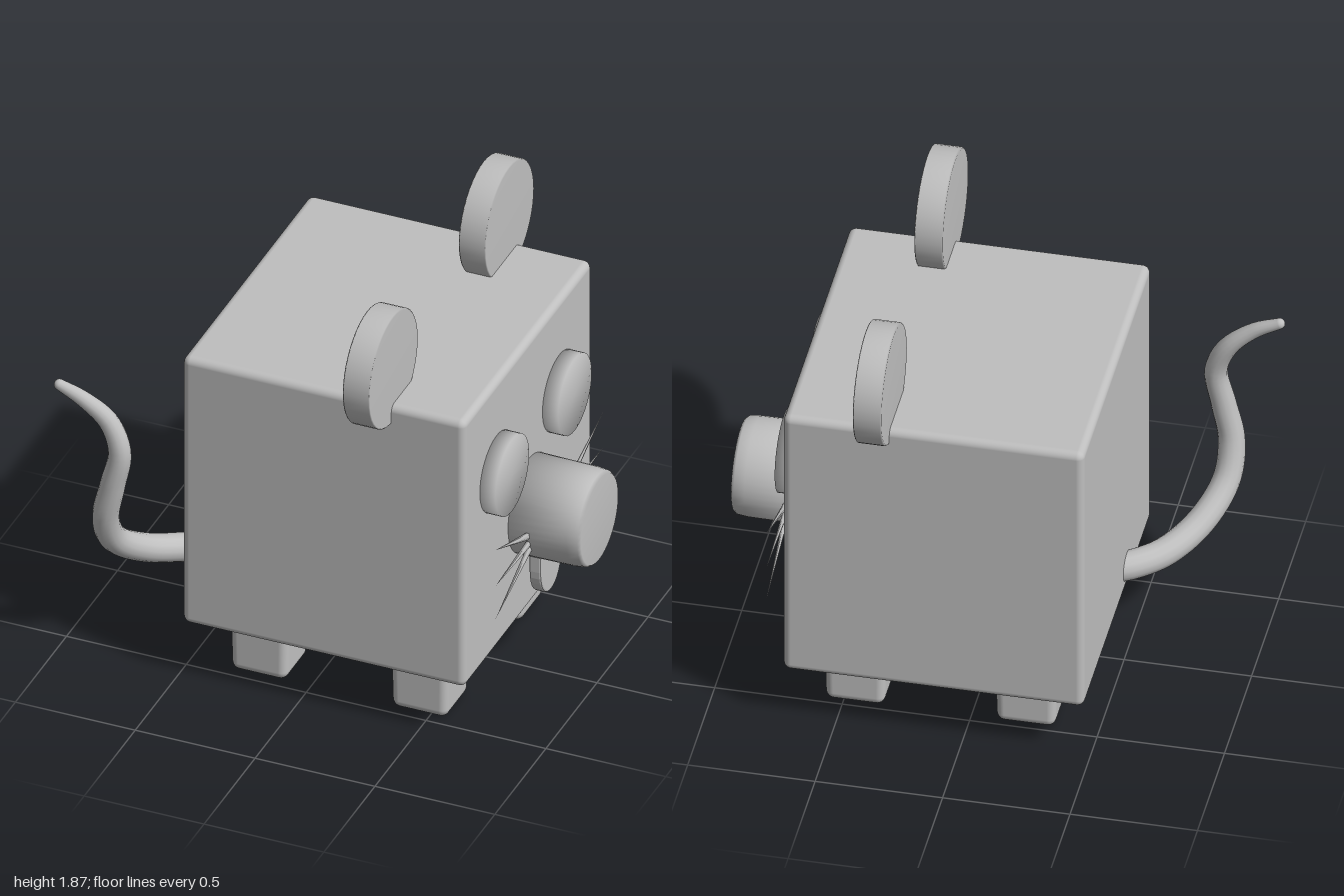
import * as THREE from 'three';
import { RoundedBoxGeometry } from 'three/addons/geometries/RoundedBoxGeometry.js';

const MID_Z = -0.033;

export function createModel() {
  const model = new THREE.Group();
  model.name = 'boxMouse';
  const grey = new THREE.MeshStandardMaterial({ color: 0xbfbfbf });
  grey.name = 'plain grey';

  function add(name, geometry, x = 0, y = 0, z = 0) {
    const mesh = new THREE.Mesh(geometry, grey);
    mesh.name = name;
    mesh.position.set(x, y, z);
    model.add(mesh);
    return mesh;
  }

  // Softly shaded disc or drum lying along x, from profile pairs [radius, x]
  function drum(profile) {
    const points = profile.map(([r, x]) => new THREE.Vector2(r, x));
    return new THREE.LatheGeometry(points, 40).rotateZ(-Math.PI / 2);
  }

  // Body
  add('body', new RoundedBoxGeometry(1.18, 1.22, 1.25, 4, 0.03), 0.11, 0.865, MID_Z);

  // Legs: rounded blocks, narrower towards the ground
  const leg = new RoundedBoxGeometry(0.25, 0.32, 0.24, 4, 0.035);
  const lp = leg.attributes.position;
  for (let i = 0; i < lp.count; i++) {
    const s = 0.95 + 0.16 * lp.getY(i);
    lp.setX(i, lp.getX(i) * s);
    lp.setZ(i, lp.getZ(i) * s);
  }
  for (const x of [-0.215, 0.455]) {
    for (const z of [0.357, -0.375]) add('leg', leg, x, 0.165, z);
  }

  // Ears
  const ear = drum([[0, 0], [0.235, 0], [0.24, 0.006], [0.24, 0.108], [0.235, 0.112], [0, 0.112]]);
  for (const z of [0.568, -0.568]) add('ear', ear, 0.282, 1.633, z);

  // Eyes
  const eye = drum([[0, 0], [0.165, 0], [0.165, 0.085], [0, 0.085]]);
  for (const z of [0.278, -0.335]) add('eye', eye, 0.68, 1.066, z);

  // Snout
  add('snout', drum([[0, 0], [0.2, 0], [0.197, 0.26], [0.192, 0.302], [0.182, 0.315], [0, 0.315]]),
    0.682, 0.735, MID_Z);

  // Tongue: rounded lower end, hidden upper end under the snout
  const outline = new THREE.Shape();
  outline.moveTo(-0.105, 0.12);
  outline.lineTo(-0.105, 0.02);
  outline.bezierCurveTo(-0.1, -0.16, 0.1, -0.16, 0.105, 0.02);
  outline.lineTo(0.105, 0.12);
  const tongue = new THREE.ExtrudeGeometry(outline, {
    depth: 0.034, bevelThickness: 0.008, bevelSize: 0.008, bevelOffset: -0.008, bevelSegments: 2, curveSegments: 16,
  }).rotateY(Math.PI / 2);
  add('tongue', tongue, 0.758, 0.483, -0.025);

  // Whiskers: thin spikes fanning out from both sides of the snout
  for (const side of [1, -1]) {
    for (const [rootY, tipY] of [[0.705, 0.845], [0.68, 0.68], [0.66, 0.528]]) {
      const root = new THREE.Vector3(0.78, rootY, MID_Z + side * 0.16);
      const tip = new THREE.Vector3(0.78, tipY, MID_Z + side * (side > 0 ? 0.51 : 0.55));
      const dir = tip.clone().sub(root);
      const spike = new THREE.ConeGeometry(0.019, dir.length(), 5).scale(0.6, 1, 1);
      const whisker = add('whisker', spike);
      whisker.position.copy(root).add(tip).multiplyScalar(0.5);
      whisker.quaternion.setFromUnitVectors(new THREE.Vector3(0, 1, 0), dir.normalize());
    }
  }

  // Tail: tube along a curve, thinned towards the tip
  const path = new THREE.CatmullRomCurve3([
    [-0.42, 0.348, 0.115], [-0.5, 0.35, 0.155], [-0.61, 0.363, 0.245], [-0.72, 0.42, 0.39],
    [-0.79, 0.53, 0.53], [-0.795, 0.67, 0.597], [-0.76, 0.83, 0.612], [-0.732, 0.99, 0.608],
    [-0.78, 1.11, 0.603], [-0.88, 1.195, 0.615], [-0.978, 1.24, 0.62],
  ].map((p) => new THREE.Vector3(...p)));
  const rings = 56;
  const sides = 14;
  const tail = new THREE.TubeGeometry(path, rings, 1, sides);
  const tp = tail.attributes.position;
  const v = new THREE.Vector3();
  for (let i = 0; i < tp.count; i++) {
    const t = Math.floor(i / (sides + 1)) / rings;
    const radius = 0.06 - 0.012 * t - 0.026 * Math.pow(t, 5);
    const centre = path.getPointAt(t);
    v.fromBufferAttribute(tp, i).sub(centre).multiplyScalar(radius).add(centre);
    tp.setXYZ(i, v.x, v.y, v.z);
  }
  add('tail', tail);
  add('tailTip', new THREE.SphereGeometry(0.022, 14, 10), -0.978, 1.24, 0.62);

  return model;
}
